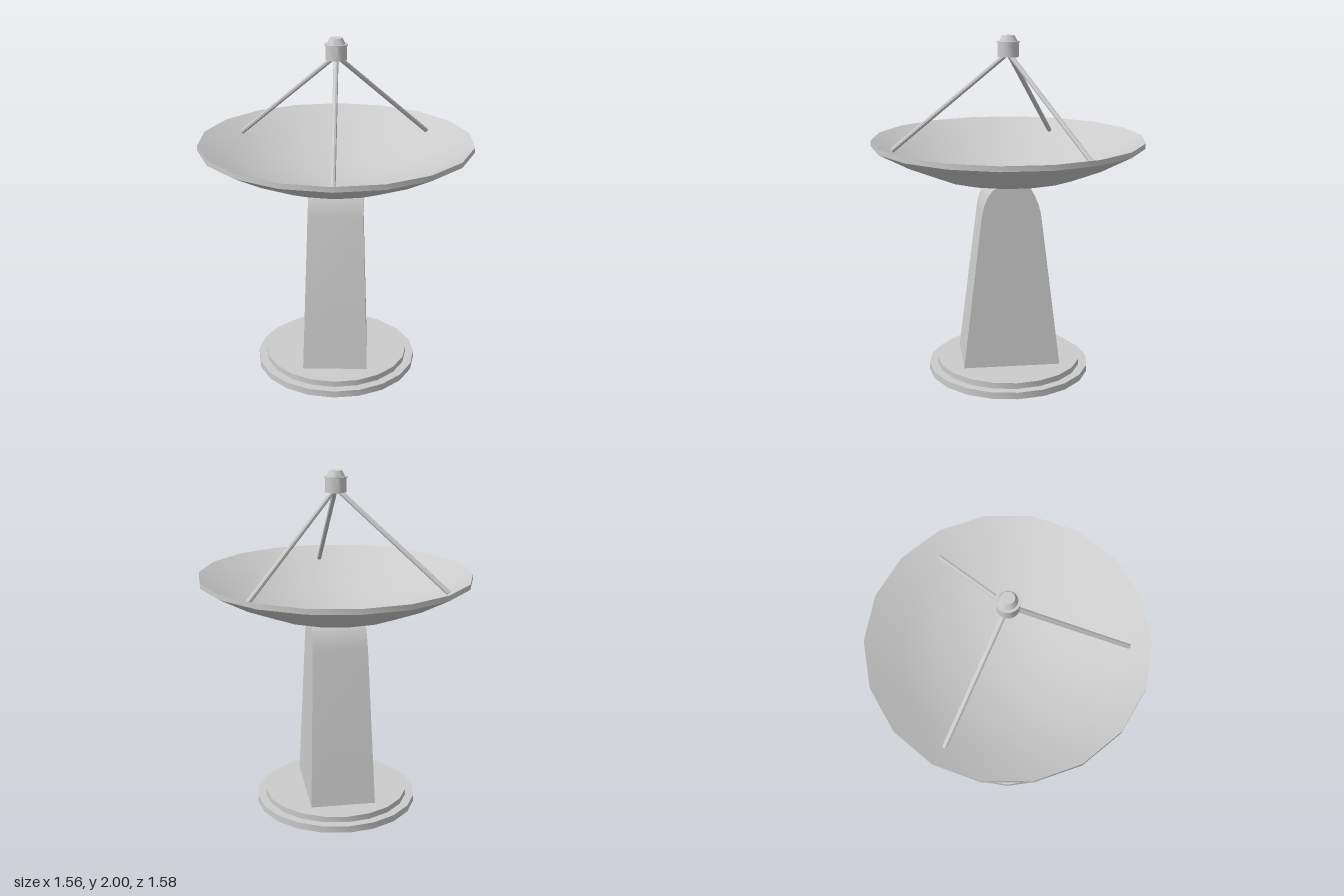
import * as THREE from 'three';
import { toCreasedNormals } from 'three/addons/utils/BufferGeometryUtils.js';

const material = new THREE.MeshStandardMaterial({ color: 0xcccccc });
const openMaterial = new THREE.MeshStandardMaterial({ color: 0xcccccc, side: THREE.DoubleSide });

function addMesh(group, name, geometry, mat = material) {
  const mesh = new THREE.Mesh(toCreasedNormals(geometry, 0.6), mat);
  mesh.name = name;
  group.add(mesh);
  return mesh;
}

function lathe(points, sides) {
  return new THREE.LatheGeometry(points.map(([r, y]) => new THREE.Vector2(r, y)), sides);
}

export function createModel() {
  const model = new THREE.Group();
  model.name = 'satelliteDish';

  // Stepped base, hollow and open underneath
  addMesh(model, 'base', lathe([
    [0.48, 0], [0.48, 0.04], [0.43, 0.04], [0.43, 0.075], [0, 0.075],
  ], 20), openMaterial);

  // Pedestal: round-shouldered side profile, narrowing across x towards the top
  const half = [[0.285, 0.07], [0.17, 1.0], [0.157, 1.05], [0.137, 1.1], [0.108, 1.14], [0.07, 1.16]];
  const outline = [...half, ...half.map(([z, y]) => [-z, y]).reverse()];
  const shape = new THREE.Shape(outline.map(([z, y]) => new THREE.Vector2(z, y)));
  const pedestal = new THREE.ExtrudeGeometry(shape, { depth: 2, bevelEnabled: false });
  pedestal.translate(0, 0, -1).rotateY(-Math.PI / 2);
  const pos = pedestal.attributes.position;
  for (let i = 0; i < pos.count; i++) {
    const t = (pos.getY(i) - 0.07) / 1.09;
    pos.setX(i, pos.getX(i) * THREE.MathUtils.lerp(0.19, 0.155, t));
  }
  addMesh(model, 'pedestal', pedestal);

  // Dish: outer shell, rim band and inner bowl
  const bowl = [[0, 1.143], [0.22, 1.163], [0.43, 1.213], [0.61, 1.288], [0.79, 1.385]];
  const inner = bowl.map(([r, y]) => [r, y + 0.03]).reverse();
  const dish = new THREE.Group();
  dish.name = 'dish';
  addMesh(dish, 'dishShell', lathe(bowl, 18));
  addMesh(dish, 'dishRim', lathe([bowl[4], inner[0]], 18));
  addMesh(dish, 'dishBowl', lathe(inner, 18));
  model.add(dish);

  // Three struts from the bowl up to the feed
  const up = new THREE.Vector3(0, 1, 0);
  for (const degrees of [0, 126, 240]) {
    const a = THREE.MathUtils.degToRad(degrees);
    const at = (r, y) => new THREE.Vector3(r * Math.sin(a), y, r * Math.cos(a));
    const foot = at(0.67, 1.355);
    const head = at(0.015, 1.89);
    const span = head.clone().sub(foot);
    const strut = addMesh(model, 'strut', new THREE.CylinderGeometry(0.014, 0.014, span.length(), 8));
    strut.position.copy(foot).add(head).multiplyScalar(0.5);
    strut.quaternion.setFromUnitVectors(up, span.normalize());
  }

  // Feed horn with a thin lip and a tapered cap
  addMesh(model, 'feed', lathe([
    [0, 1.88], [0.06, 1.88], [0.06, 1.96], [0.066, 1.96], [0.066, 1.967],
    [0.052, 1.967], [0.036, 2], [0, 2],
  ], 18));

  return model;
}
